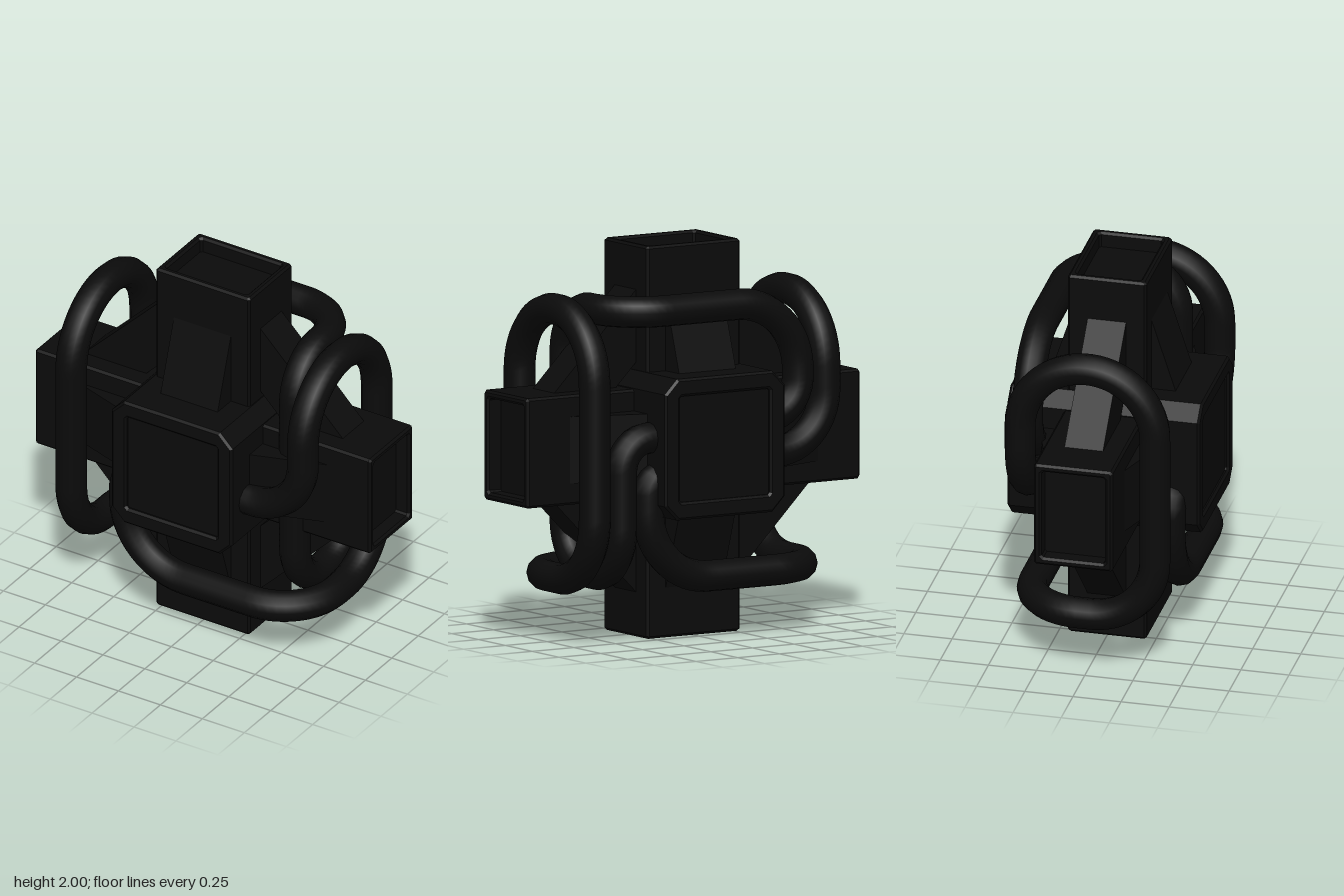
import * as THREE from 'three';

const black = new THREE.MeshStandardMaterial({ color: 0x0b0b0b });
black.name = 'near black';
const flatBlack = black;

function mesh(geometry, name) {
  const m = new THREE.Mesh(geometry, flatBlack);
  m.name = name;
  return m;
}

// Rectangle with cut corners, by half width, half height and corner cut
function cutRect(path, w, h, c) {
  path.moveTo(-w + c, -h);
  path.lineTo(w - c, -h);
  path.lineTo(w, -h + c);
  path.lineTo(w, h - c);
  path.lineTo(w - c, h);
  path.lineTo(-w + c, h);
  path.lineTo(-w, h - c);
  path.lineTo(-w, -h + c);
  path.closePath();
  return path;
}

// Square-section arm along +z with a recessed end framed by a rim
function arm(name, w, h, length, cut, rim, depth) {
  const g = new THREE.Group();
  g.name = name;
  const body = new THREE.ExtrudeGeometry(cutRect(new THREE.Shape(), w, h, cut),
    { depth: length - depth, bevelEnabled: false });
  g.add(mesh(body, name + 'Body'));

  const b = 0.012;
  const ring = cutRect(new THREE.Shape(), w, h, cut);
  ring.holes.push(cutRect(new THREE.Path(), w - rim, h - rim, 0.01));
  const frame = new THREE.ExtrudeGeometry(ring, {
    depth: depth + 0.03 - 2 * b, bevelEnabled: true, bevelSegments: 1,
    bevelSize: b, bevelThickness: b, bevelOffset: -b,
  });
  frame.translate(0, 0, length - depth - 0.03 + b);
  g.add(mesh(frame, name + 'Rim'));
  return g;
}

// Pipe through corner points [x, y, z, rounding]
function pipe(name, points) {
  const path = new THREE.CurvePath();
  const v = points.map((p) => new THREE.Vector3(p[0], p[1], p[2]));
  let start = v[0];
  for (let i = 1; i < v.length - 1; i++) {
    const r = points[i][3];
    const toPrev = v[i - 1].clone().sub(v[i]).normalize();
    const toNext = v[i + 1].clone().sub(v[i]).normalize();
    const a = v[i].clone().addScaledVector(toPrev, r);
    const b = v[i].clone().addScaledVector(toNext, r);
    if (a.distanceTo(start) > 0.001) path.add(new THREE.LineCurve3(start, a));
    path.add(new THREE.CubicBezierCurve3(a,
      v[i].clone().addScaledVector(toPrev, r * 0.448),
      v[i].clone().addScaledVector(toNext, r * 0.448), b));
    start = b;
  }
  path.add(new THREE.LineCurve3(start, v[v.length - 1]));
  return mesh(new THREE.TubeGeometry(path, 130, 0.08, 12, false), name);
}

export function createModel() {
  const model = new THREE.Group();
  model.name = 'pipedCrossBlock';

  // Six arms meeting in the middle
  const core = new THREE.Group();
  core.name = 'core';
  core.position.y = 1;
  model.add(core);
  const arms = [
    ['topArm', 0.28, 0.205, 1, 0.012, 0.04, 0.08, -Math.PI / 2, 0],
    ['bottomArm', 0.28, 0.205, 1, 0.012, 0.04, 0.08, Math.PI / 2, 0],
    ['leftArm', 0.205, 0.28, 1, 0.012, 0.04, 0.08, 0, Math.PI / 2],
    ['rightArm', 0.205, 0.28, 1, 0.012, 0.04, 0.08, 0, -Math.PI / 2],
    ['frontBlock', 0.36, 0.36, 0.5, 0.075, 0.09, 0.02, 0, 0],
    ['backBlock', 0.36, 0.36, 0.5, 0.075, 0.09, 0.02, 0, Math.PI],
  ];
  for (const [name, w, h, len, cut, rim, depth, rx, ry] of arms) {
    const a = arm(name, w, h, len, cut, rim, depth);
    a.rotation.set(rx, ry, 0);
    core.add(a);
  }

  // Diagonal braces between neighbouring arms
  for (let i = 0; i < 4; i++) {
    const angle = Math.PI / 4 + i * Math.PI / 2;
    const brace = mesh(new THREE.BoxGeometry(0.262, 0.75, 0.2), 'diagonalBrace');
    brace.position.set(Math.cos(angle) * 0.612, Math.sin(angle) * 0.612, 0);
    brace.rotation.z = angle;
    core.add(brace);
  }

  // Sloped wedges from the arms up to the front and back blocks
  const profile = new THREE.Shape([
    new THREE.Vector2(0.3, 0.1), new THREE.Vector2(0.76, 0.1),
    new THREE.Vector2(0.76, 0.2), new THREE.Vector2(0.3, 0.35),
  ]);
  for (let side = 0; side < 2; side++) {
    for (let i = 0; i < 4; i++) {
      const g = new THREE.ExtrudeGeometry(profile, { depth: 0.34, bevelEnabled: false });
      g.translate(0, 0, -0.17);
      g.rotateX(Math.PI / 2);
      g.rotateZ(i * Math.PI / 2);
      g.rotateY(side * Math.PI);
      core.add(mesh(g, 'wedge'));
    }
  }

  // Two matching pipes, each looping round a side arm and under the block
  for (let i = 0; i < 2; i++) {
    const p = pipe(i ? 'backLoopPipe' : 'frontLoopPipe', [
      [0.28, 0.92, 0.35], [0.69, 0.92, 0.35, 0.3], [0.69, 1.69, 0.35, 0.35],
      [0.69, 1.69, -0.35, 0.35], [0.69, 0.32, -0.35, 0.33], [0.69, 0.32, 0.35, 0.3],
      [-0.37, 0.32, 0.35, 0.36], [-0.37, 0.86, 0.35, 0.1], [-0.2, 0.86, 0.35],
    ]);
    p.rotation.y = i * Math.PI;
    model.add(p);
  }

  // Third pipe over the back and down through the left arm
  model.add(pipe('crossPipe', [
    [-0.28, 1.1, -0.35], [-0.53, 1.1, -0.35, 0.2], [-0.53, 1.69, -0.35, 0.36],
    [0.53, 1.69, -0.35, 0.26], [0.53, 1.69, 0.17, 0.24], [0.53, 0.34, 0.17, 0.25],
    [0.53, 0.34, -0.35, 0.25], [0.53, 1.05, -0.35, 0.16], [0.28, 1.05, -0.35],
  ]));

  return model;
}
